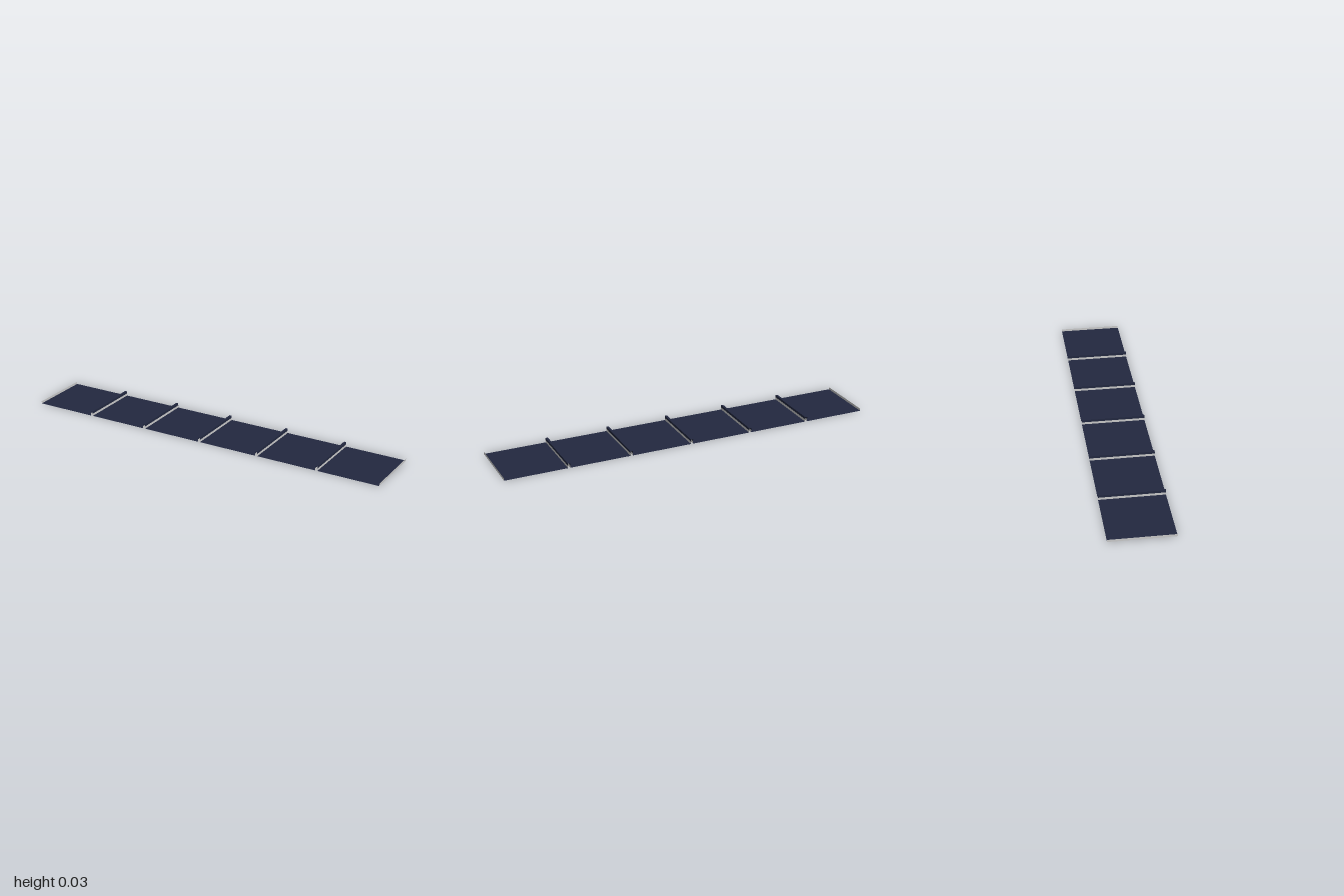
import * as THREE from 'three';

const COUNT = 6, DEPTH = 0.328, GAP = 0.012, RIM = 0.0125, TOP = 0.025;
const PITCH = 2 / COUNT;

const navy = new THREE.MeshStandardMaterial({ color: 0x222840, side: THREE.DoubleSide });
const grey = new THREE.MeshStandardMaterial({ color: 0xcccccc, side: THREE.DoubleSide });

// Thin horizontal sheet spanning x0..x1 at height y
function sheet(name, material, x0, x1, y) {
  const geometry = new THREE.PlaneGeometry(x1 - x0, DEPTH).rotateX(-Math.PI / 2);
  const mesh = new THREE.Mesh(geometry, material);
  mesh.position.set((x0 + x1) / 2, y, 0);
  mesh.name = name;
  return mesh;
}

// Thin upright strip at x, spanning y0..y1
function wall(name, material, x, y0, y1, facing) {
  const geometry = new THREE.PlaneGeometry(DEPTH, y1 - y0).rotateY(facing * Math.PI / 2);
  const mesh = new THREE.Mesh(geometry, material);
  mesh.position.set(x, (y0 + y1) / 2, 0);
  mesh.name = name;
  return mesh;
}

export function createModel() {
  const model = new THREE.Group();
  model.name = 'panelArray';

  // Flat panels with a low grey rim at each end
  for (let i = 0; i < COUNT; i++) {
    const x0 = -1 + i * PITCH + (i > 0 ? GAP / 2 : 0);
    const x1 = -1 + (i + 1) * PITCH - (i < COUNT - 1 ? GAP / 2 : 0);
    const panel = new THREE.Group();
    panel.name = 'panel';
    panel.add(
      sheet('panelSheet', navy, x0, x1, 0),
      wall('leftRim', grey, x1, 0, RIM, 1),
      wall('rightRim', grey, x0, 0, RIM, -1)
    );
    model.add(panel);
  }

  // Raised hinge ridges bridging the gaps, open at front and back
  for (let i = 1; i < COUNT; i++) {
    const x = -1 + i * PITCH, h = GAP / 2;
    const ridge = new THREE.Group();
    ridge.name = 'hingeRidge';
    ridge.add(
      sheet('ridgeTop', navy, x - h, x + h, TOP),
      wall('ridgeLeft', navy, x + h, RIM, TOP, 1),
      wall('ridgeRight', navy, x - h, RIM, TOP, -1)
    );
    model.add(ridge);
  }
  return model;
}
